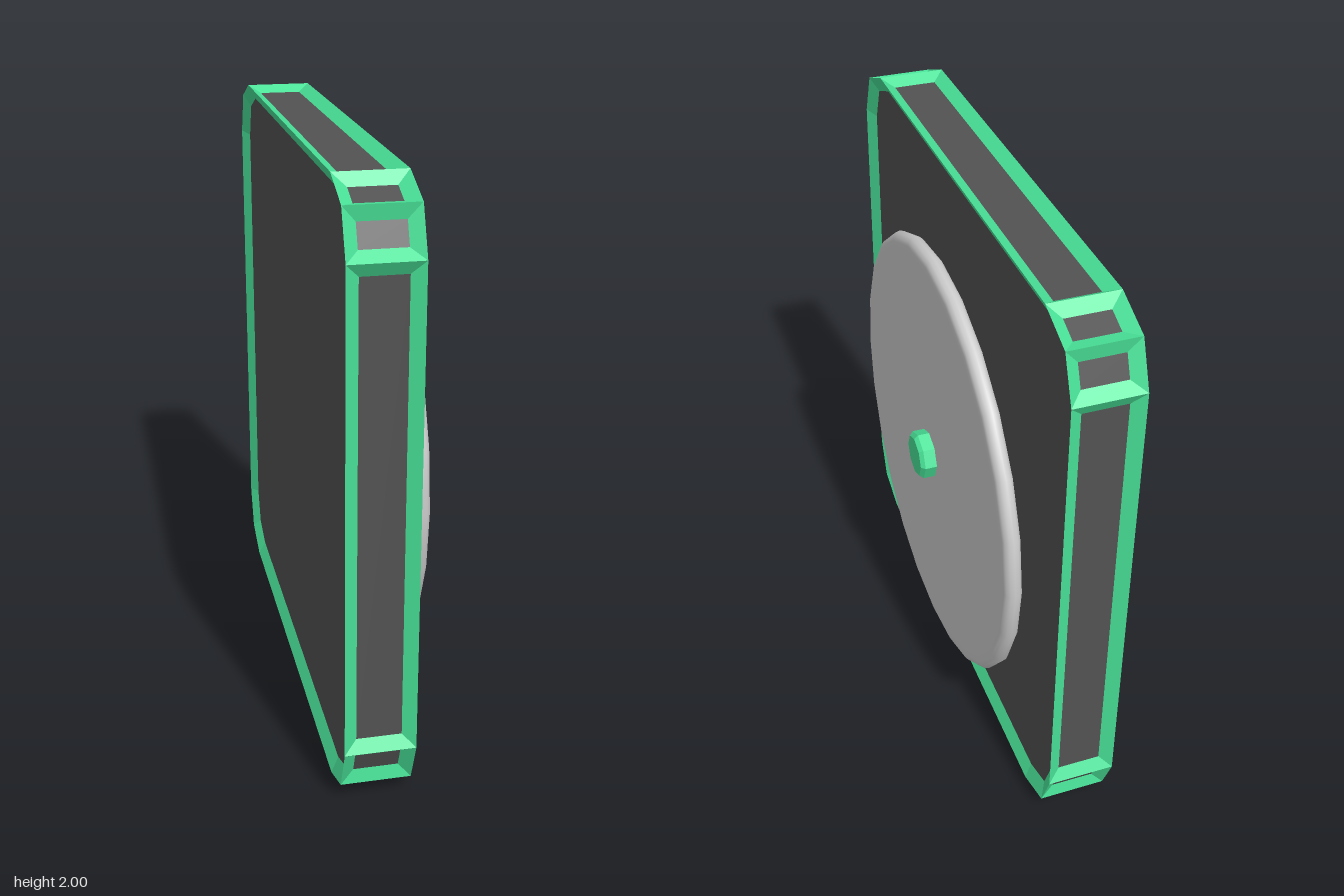
import * as THREE from 'three';

const GREEN = new THREE.MeshStandardMaterial({ color: 0x49e298, flatShading: true });
const DARK = new THREE.MeshStandardMaterial({ color: 0x525252, flatShading: true });
const GREY = new THREE.MeshStandardMaterial({ color: 0xcccccc });

const BACK = -0.19, FRONT = 0.04, HUB_Y = 0.915;

function add(group, name, geometry, material) {
  const mesh = new THREE.Mesh(geometry, material);
  mesh.name = name;
  group.add(mesh);
  return mesh;
}

// Fan of triangles over a convex loop of points, counter-clockwise from outside
function polygon(loop) {
  const points = [];
  for (let i = 1; i < loop.length - 1; i++) points.push(loop[0], loop[i], loop[i + 1]);
  return points;
}

function toGeometry(points) {
  const geometry = new THREE.BufferGeometry().setFromPoints(points);
  geometry.computeVertexNormals();
  return geometry;
}

// Shrinks a convex loop by width and sinks it by depth
function insetLoop(loop, width, depth) {
  const n = loop.length;
  const edge = (i) => loop[(i + 1) % n].clone().sub(loop[i % n]).normalize();
  const normal = edge(0).cross(edge(1)).normalize();
  return loop.map((p, i) => {
    const a = normal.clone().cross(edge(i + n - 1));
    const b = normal.clone().cross(edge(i));
    const shift = a.clone().add(b).multiplyScalar(width / (1 + a.dot(b)));
    return p.clone().add(shift).addScaledVector(normal, -depth);
  });
}

// Square outline with two-step corners, counter-clockwise seen from +x
function outline(x) {
  const corner = [[1, 0.79], [0.94, 0.94], [0.79, 1]];
  const ring = [];
  for (let q = 0; q < 4; q++) {
    const c = Math.round(Math.cos(q * Math.PI / 2)), s = Math.round(Math.sin(q * Math.PI / 2));
    for (const [u, v] of corner) ring.push(new THREE.Vector3(x, 1 + u * s + v * c, -(u * c - v * s)));
  }
  return ring;
}

export function createModel() {
  const model = new THREE.Group();
  model.name = 'squarePlatform';

  // Slab: every face is a sunken dark panel inside a bevelled green border
  const front = outline(FRONT), back = outline(BACK);
  const faces = [{ loop: front, width: 0.05 }, { loop: [...back].reverse(), width: 0.05 }];
  front.forEach((p, i) => {
    const j = (i + 1) % front.length;
    faces.push({ loop: [p, back[i], back[j], front[j]], width: 0.042 });
  });
  const border = [], panels = [];
  for (const { loop, width } of faces) {
    const inner = insetLoop(loop, width, 0.025);
    panels.push(...polygon(inner));
    loop.forEach((p, i) => {
      const j = (i + 1) % loop.length;
      border.push(...polygon([p, loop[j], inner[j], inner[i]]));
    });
  }
  const slab = new THREE.Group();
  slab.name = 'slab';
  model.add(slab);
  add(slab, 'border', toGeometry(border), GREEN);
  add(slab, 'panels', toGeometry(panels), DARK);

  // Lathed parts turn about the x axis, with a vertex at the top
  const lathe = (profile, sides) => new THREE.LatheGeometry(
    profile.map(([r, x]) => new THREE.Vector2(r, x)), sides).rotateZ(-Math.PI / 2);

  // Thin disc with a rounded rim
  const rim = [];
  for (let i = 0; i <= 6; i++) {
    const a = -Math.PI / 2 + (i / 6) * Math.PI;
    rim.push([0.765 + 0.03 * Math.cos(a), 0.1 + 0.03 * Math.sin(a)]);
  }
  const disc = add(model, 'disc', lathe([[0, 0.07], [0.74, 0.07], ...rim, [0.74, 0.13], [0, 0.13]], 24), GREY);
  disc.position.y = HUB_Y;

  // Eight-sided hub through the disc, with a small chamfer
  const hub = add(model, 'hub', lathe([[0.087, 0.01], [0.087, 0.172], [0.074, 0.186], [0, 0.186]], 8), GREEN);
  hub.position.y = HUB_Y;

  return model;
}
